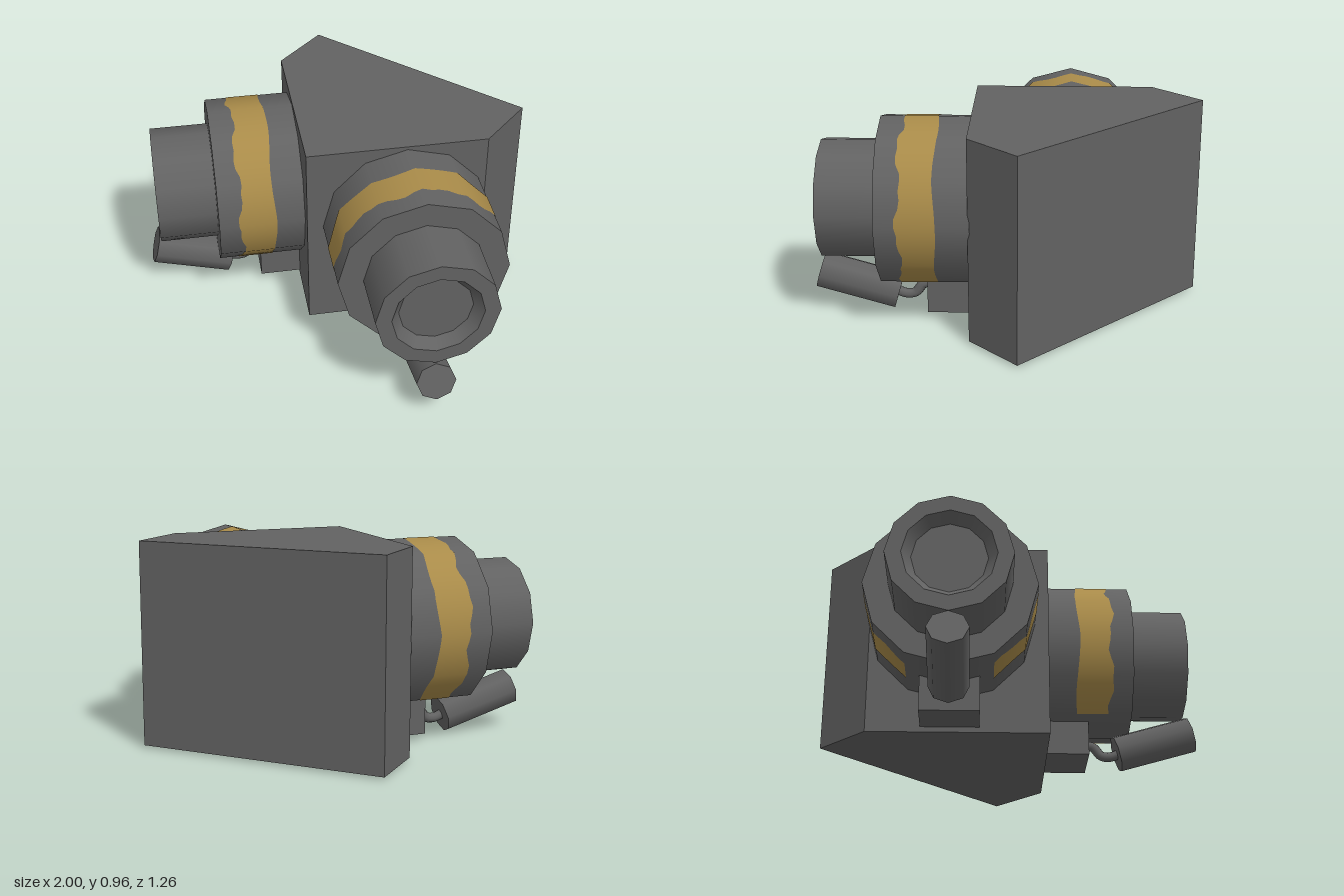
import * as THREE from 'three';
import { mergeGeometries } from 'three/addons/utils/BufferGeometryUtils.js';

const SIDES = 12, AXIS_Y = 0.555, DRUM_R = 0.39;

// Turned part along +z with a sharp edge at every profile point; profile is [radius, z]
function turned(profile) {
  const pieces = [];
  for (let i = 0; i < profile.length - 1; i++) {
    const pair = [profile[i], profile[i + 1]].map(([r, z]) => new THREE.Vector2(r, z));
    pieces.push(new THREE.LatheGeometry(pair, SIDES));
  }
  return mergeGeometries(pieces).rotateX(Math.PI / 2);
}

// Painted band with a worn outer edge, hugging the drum and open at the bottom
function bandGeometry() {
  const pos = [], nor = [], idx = [];
  const facets = SIDES - 2, sub = 5, step = (Math.PI * 2) / SIDES;
  const r = DRUM_R + 0.002;
  for (let i = 0; i <= facets * sub; i++) {
    const f = Math.floor(i / sub), t = (i % sub) / sub;
    const a = -Math.PI / 2 + step * (1 + f), b = a + step;
    const x = r * (Math.cos(a) * (1 - t) + Math.cos(b) * t);
    const y = r * (Math.sin(a) * (1 - t) + Math.sin(b) * t);
    const inner = 0.147 + 0.008 * Math.sin(i * 0.5);
    const outer = 0.305 + 0.012 * Math.sin(i * 0.7 + 1) + 0.006 * Math.sin(i * 1.9);
    const l = Math.hypot(x, y);
    for (const z of [inner, outer]) {
      pos.push(x, y, z);
      nor.push(x / l, y / l, 0);
    }
    if (i > 0) {
      const k = i * 2;
      idx.push(k - 2, k, k - 1, k, k + 1, k - 1);
    }
  }
  const g = new THREE.BufferGeometry();
  g.setAttribute('position', new THREE.Float32BufferAttribute(pos, 3));
  g.setAttribute('normal', new THREE.Float32BufferAttribute(nor, 3));
  g.setIndex(idx);
  return g;
}

export function createModel() {
  const grey = new THREE.MeshStandardMaterial({ color: 0x626262 });
  grey.name = 'dark grey';
  const yellow = new THREE.MeshStandardMaterial({ color: 0xa98b49, side: THREE.DoubleSide });
  yellow.name = 'dull yellow';

  const model = new THREE.Group();
  model.name = 'twinLampHousing';
  const add = (parent, name, geometry, material, y = 0) => {
    const m = new THREE.Mesh(geometry, material);
    m.name = name;
    m.position.y = y;
    parent.add(m);
    return m;
  };

  // Five-sided housing; the outline is drawn in x and -z, then raised
  const outline = [[-0.6, 0.63], [-0.6, 0.315], [-0.006, -0.278], [0.586, 0.315], [0.586, 0.63]];
  const housing = new THREE.ExtrudeGeometry(
    new THREE.Shape(outline.map(([x, y]) => new THREE.Vector2(x, y))),
    { depth: 0.95, bevelEnabled: false });
  housing.rotateX(-Math.PI / 2);
  add(model, 'housing', housing, grey, 0.01);

  const drumGeo = turned([[DRUM_R, -0.01], [DRUM_R, 0.41], [0.26, 0.41]]);
  const barrelGeo = turned([[0.276, 0.4], [0.276, 0.686], [0.205, 0.686], [0.165, 0.636]]);
  const lensGeo = turned([[0.165, 0.636], [0, 0.636]]);
  const bandGeo = bandGeometry();
  const bracketGeo = new THREE.BoxGeometry(0.27, 0.19, 0.225).translate(0, 0.13, 0.0925);

  // Small tilted lamp and the cable feeding it
  const back = new THREE.Vector3(0, 0.085, 0.35);
  const front = new THREE.Vector3(0, 0.19, 0.716);
  const dir = front.clone().sub(back);
  const lampGeo = new THREE.CylinderGeometry(0.09, 0.09, dir.length(), 8);
  lampGeo.rotateX(Math.atan2(dir.z, dir.y));
  lampGeo.translate(0, (back.y + front.y) / 2, (back.z + front.z) / 2);
  const cable = new THREE.CatmullRomCurve3([
    [0.125, 0.18], [0.12, 0.235], [0.075, 0.275], [0.07, 0.32], [0.09, 0.37],
  ].map(([y, z]) => new THREE.Vector3(0, y, z)));
  const cableGeo = new THREE.TubeGeometry(cable, 16, 0.024, 8);

  // One projector on each slanted front face
  for (const side of [1, -1]) {
    const unit = new THREE.Group();
    unit.name = side > 0 ? 'leftProjector' : 'rightProjector';
    unit.position.set(side * 0.322, 0, -0.05);
    unit.rotation.y = side * Math.PI / 4;
    add(unit, 'drum', drumGeo, grey, AXIS_Y);
    add(unit, 'paintedBand', bandGeo, yellow, AXIS_Y);
    add(unit, 'barrel', barrelGeo, grey, AXIS_Y);
    add(unit, 'lens', lensGeo, grey, AXIS_Y);
    add(unit, 'bracket', bracketGeo, grey);
    add(unit, 'cable', cableGeo, grey);
    add(unit, 'smallLamp', lampGeo, grey);
    model.add(unit);
  }
  return model;
}
